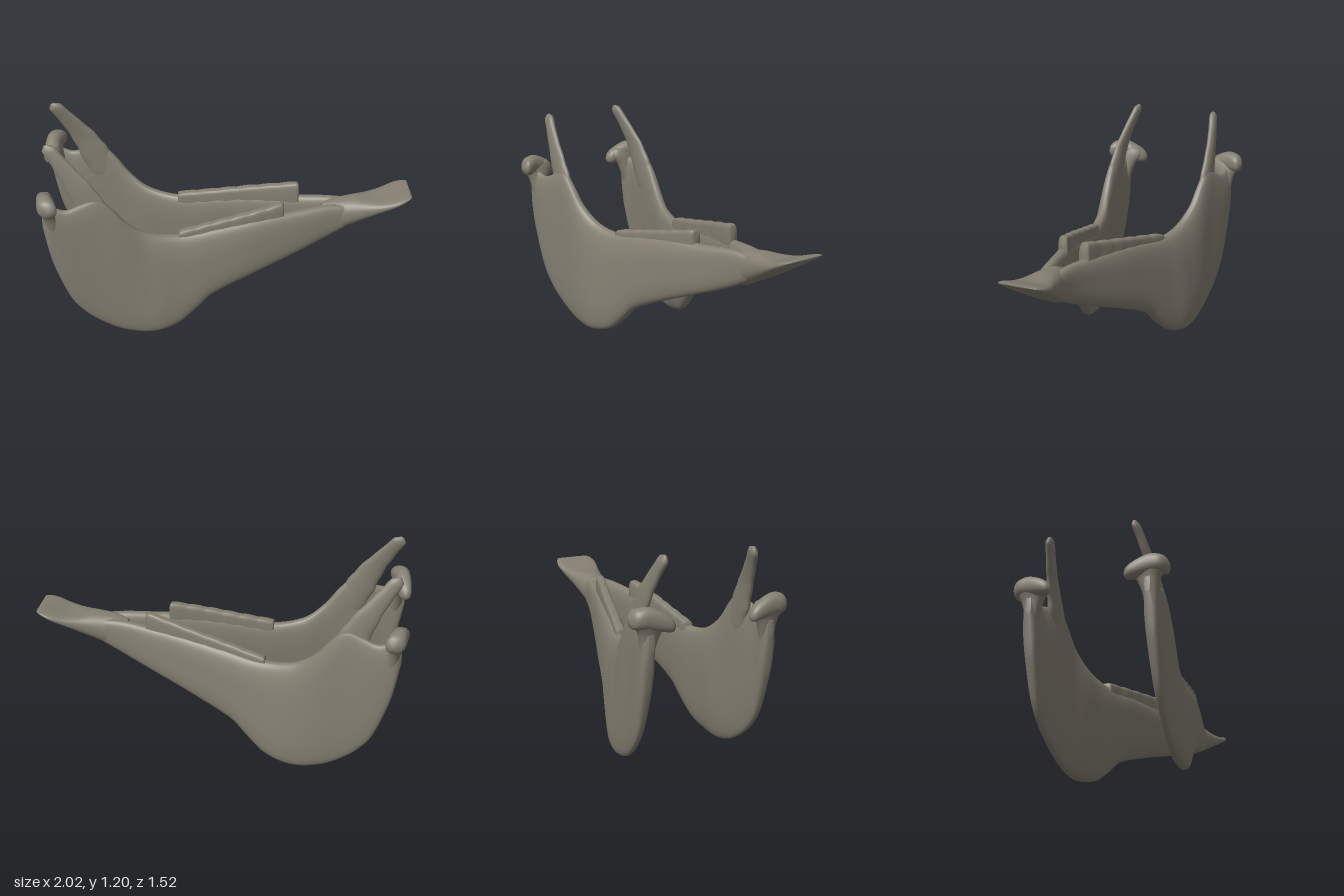
import * as THREE from 'three';

const V = (x, y, z) => new THREE.Vector3(x, y, z);

// Smooth interpolation of table rows keyed by their first column
function sample(rows, k) {
  let i = 0;
  while (i < rows.length - 2 && k > rows[i + 1][0]) i++;
  const p = rows[i], q = rows[i + 1], o = rows[Math.max(i - 1, 0)], r = rows[Math.min(i + 2, rows.length - 1)];
  const h = q[0] - p[0], t = THREE.MathUtils.clamp((k - p[0]) / h, 0, 1);
  return p.map((_, c) => {
    const m0 = (q[c] - o[c]) / (q[0] - o[0]) * h, m1 = (r[c] - p[c]) / (r[0] - p[0]) * h;
    const t2 = t * t, t3 = t2 * t;
    return (2 * t3 - 3 * t2 + 1) * p[c] + (t3 - 2 * t2 + t) * m0 + (3 * t2 - 2 * t3) * q[c] + (t3 - t2) * m1;
  });
}

// The jaw bows slightly to one side along its middle
const bow = (u) => 0.04 * Math.exp(-(((u - 0.5) / 0.75) ** 2));

// Skin over rounded sections { c: centre, a, b: half axes }, closed at both ends
function loft(sections, power = 0.75, sides = 32) {
  const pos = [], idx = [], n = sections.length;
  const run = sections[n - 1].c.clone().sub(sections[0].c);
  const mid = sections[n >> 1];
  const flip = mid.a.clone().cross(mid.b).dot(run) < 0 ? -1 : 1;
  const soft = (v) => Math.sign(v) * Math.abs(v) ** power;
  const put = (p) => pos.push(p.x, p.y, p.z + bow(p.x));
  for (const { c, a, b } of sections) {
    for (let j = 0; j < sides; j++) {
      const t = j / sides * Math.PI * 2;
      put(c.clone().addScaledVector(a, soft(Math.cos(t))).addScaledVector(b, flip * soft(Math.sin(t))));
    }
  }
  put(sections[0].c);
  put(sections[n - 1].c);
  for (let j = 0; j < sides; j++) {
    const k = (j + 1) % sides, e = (n - 1) * sides;
    for (let i = 0; i < n - 1; i++) {
      const p = i * sides, q = p + sides;
      idx.push(p + j, p + k, q + j, p + k, q + k, q + j);
    }
    idx.push(n * sides, k, j, n * sides + 1, e + j, e + k);
  }
  const g = new THREE.BufferGeometry();
  g.setAttribute('position', new THREE.Float32BufferAttribute(pos, 3));
  g.setIndex(idx);
  g.computeVertexNormals();
  return g;
}

const steps = (from, to, n, f) => Array.from({ length: n + 1 }, (_, i) => f(from + (to - from) * i / n, i / n));

// Jaw half: along, bottom, top, sideways at the bottom, half thickness, inward lean of the top
const HALF = [
  [-0.885, 0.74, 0.83, 0.33, 0.015, 0],
  [-0.865, 0.62, 0.86, 0.335, 0.03, 0],
  [-0.84, 0.5, 0.87, 0.335, 0.036, 0],
  [-0.76, 0.28, 0.845, 0.335, 0.036, 0.005],
  [-0.68, 0.17, 0.87, 0.33, 0.037, 0.015],
  [-0.59, 0.095, 0.9, 0.32, 0.039, 0.02],
  [-0.511, 0.048, 0.83, 0.312, 0.043, 0.02],
  [-0.442, 0.022, 0.74, 0.306, 0.047, 0.025],
  [-0.35, 0.006, 0.66, 0.3, 0.052, 0.045],
  [-0.257, 0.014, 0.625, 0.29, 0.055, 0.055],
  [-0.15, 0.05, 0.613, 0.262, 0.056, 0.05],
  [-0.05, 0.135, 0.62, 0.235, 0.056, 0.04],
  [0.03, 0.213, 0.635, 0.215, 0.055, 0.035],
  [0.26, 0.32, 0.668, 0.162, 0.051, 0.02],
  [0.537, 0.43, 0.69, 0.092, 0.043, 0.01],
  [0.7, 0.5, 0.7, 0.052, 0.037, 0],
  [0.85, 0.58, 0.69, 0.035, 0.03, 0],
];
// Coronoid: height, along, sideways, half width, half thickness
const CORONOID = [
  [0.6, -0.53, 0.296, 0.03, 0.01],
  [0.72, -0.565, 0.294, 0.07, 0.026],
  [0.85, -0.627, 0.293, 0.074, 0.028],
  [0.97, -0.69, 0.286, 0.059, 0.023],
  [1.08, -0.765, 0.268, 0.042, 0.021],
  [1.16, -0.822, 0.25, 0.035, 0.021],
  [1.185, -0.84, 0.245, 0.028, 0.018],
  [1.197, -0.848, 0.243, 0.01, 0.008],
];
// Neck: height, along, sideways, half length, half breadth
const NECK = [
  [0.62, -0.82, 0.332, 0.02, 0.02],
  [0.74, -0.832, 0.331, 0.038, 0.04],
  [0.82, -0.845, 0.326, 0.04, 0.062],
  [0.88, -0.86, 0.325, 0.042, 0.095],
  [0.92, -0.863, 0.33, 0.03, 0.075],
];
// Condyle: sideways, along, height, half length, half height
const CONDYLE = [
  [0.208, -0.888, 0.852, 0.012, 0.014],
  [0.222, -0.886, 0.858, 0.03, 0.034],
  [0.27, -0.876, 0.878, 0.042, 0.05],
  [0.34, -0.864, 0.898, 0.046, 0.058],
  [0.395, -0.85, 0.897, 0.052, 0.053],
  [0.422, -0.84, 0.892, 0.042, 0.04],
  [0.434, -0.836, 0.89, 0.014, 0.014],
];
// Fused front of the jaw: along, bottom, top, half width
const FRONT = [
  [0.66, 0.52, 0.68, 0.03],
  [0.73, 0.508, 0.705, 0.07],
  [0.8, 0.54, 0.715, 0.08],
  [0.92, 0.6, 0.728, 0.095],
  [1.02, 0.658, 0.738, 0.115],
  [1.09, 0.7, 0.755, 0.126],
  [1.14, 0.732, 0.764, 0.115],
  [1.163, 0.752, 0.762, 0.1],
];

export function createModel() {
  const bone = new THREE.MeshStandardMaterial({ color: 0x857f72 });
  bone.name = 'bone';
  const root = new THREE.Group();
  root.name = 'jawbone';
  const turned = new THREE.Group();
  turned.name = 'turnedJaw';
  turned.rotation.y = 0.563;
  const jaw = new THREE.Group();
  jaw.name = 'jaw';
  jaw.position.z = -0.079;
  turned.add(jaw);
  root.add(turned);
  const add = (name, geometry) => {
    const mesh = new THREE.Mesh(geometry, bone);
    mesh.name = name;
    jaw.add(mesh);
  };

  for (const [s, side, toothEnd, toothTop] of [[1, 'right', 0.44, 0.755], [-1, 'left', 0.54, 0.78]]) {
    // Ramus and body, denser towards the steep back edge
    add(side + 'JawBody', loft(steps(0, 1, 90, (t) => {
      const [u, bot, top, w, h, lean] = sample(HALF, -0.885 + 1.735 * t ** 1.5);
      return { c: V(u, (top + bot) / 2, s * (w - lean / 2)), a: V(0, (top - bot) / 2, -s * lean / 2), b: V(0, 0, h) };
    }), 0.72, 48));

    // Blade rising in front of the joint
    add(side + 'Coronoid', loft(steps(0.6, 1.197, 36, (k) => {
      const [y, u, w, width, h] = sample(CORONOID, k);
      const wave = 1 + 0.04 * Math.sin(y * 60);
      return { c: V(u, y, s * w), a: V(width * wave, width * 0.45, 0), b: V(0, 0, h) };
    }), 0.9, 24));

    // Neck widening up to the joint
    add(side + 'Neck', loft(steps(0.62, 0.92, 20, (k) => {
      const [y, u, w, len, breadth] = sample(NECK, k);
      return { c: V(u, y, s * w), a: V(len, 0, 0), b: V(0, 0, breadth) };
    }), 0.95, 24));

    // Crosswise joint knob
    add(side + 'Condyle', loft(steps(0.208, 0.434, 24, (k) => {
      const [w, u, y, len, h] = sample(CONDYLE, k);
      return { c: V(u, y, s * w), a: V(len, 0, 0), b: V(0, h, 0) };
    }), 0.9, 24));

    // Ridge of worn cheek teeth, rising forwards and ending in a step
    add(side + 'ToothRow', loft(steps(-0.15, toothEnd, 60, (u, t) => {
      const [, , gum, w, , lean] = sample(HALF, u);
      const bump = Math.abs(Math.sin(t * Math.PI * 6));
      const top = THREE.MathUtils.lerp(0.632, toothTop, t) + 0.004 * bump - (t > 0.99 ? 0.012 : 0);
      const low = gum - 0.06;
      return {
        c: V(u, (top + low) / 2, s * (w - lean - 0.006)),
        a: V(0, (top - low) / 2, 0),
        b: V(0, 0, 0.026 + 0.002 * bump),
      };
    }), 0.5, 24));
  }

  // Shovel-shaped front, slightly hollow on top towards the tip
  const front = loft(steps(0.66, 1.163, 40, (k) => {
    const [u, bot, top, half] = sample(FRONT, k);
    return { c: V(u, (top + bot) / 2, 0), a: V(0, (top - bot) / 2, 0), b: V(0, 0, half) };
  }), 0.85, 40);
  const p = front.attributes.position;
  for (let i = 0; i < p.count; i++) {
    const u = p.getX(i);
    const [, bot, top, half] = sample(FRONT, u);
    const across = 1 - Math.min(1, ((p.getZ(i) - bow(u)) / half) ** 2);
    const up = Math.max(0, (p.getY(i) - (top + bot) / 2) / ((top - bot) / 2));
    const depth = 0.2 * (top - bot) * THREE.MathUtils.smoothstep(u, 0.84, 1.02);
    p.setY(i, p.getY(i) - depth * across * up);
  }
  front.computeVertexNormals();
  add('jawFront', front);

  return root;
}
